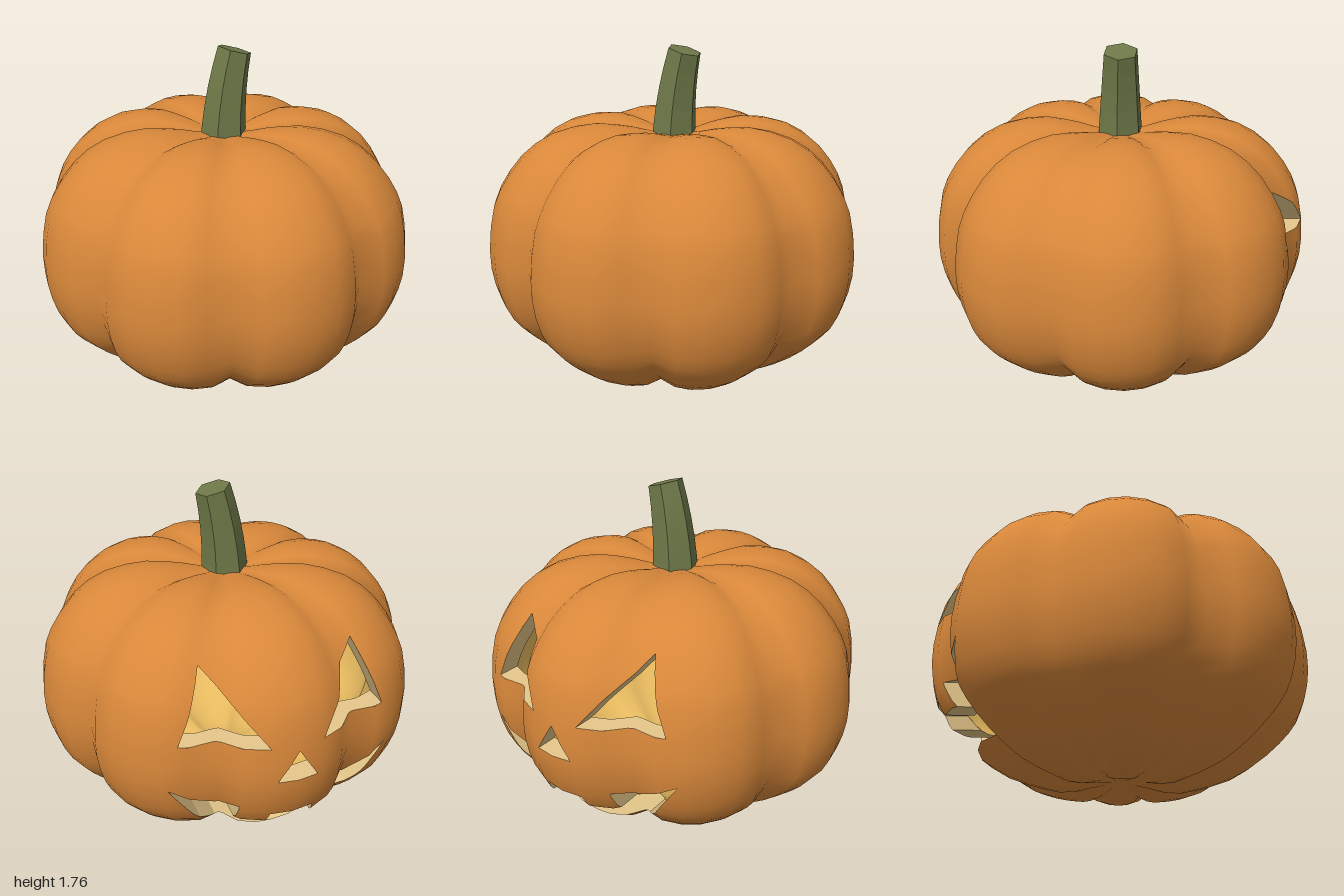
import * as THREE from 'three';

const RIBS = 8, COLS = 48, ROWS = 30, MID = 0.69;

// Half profile as [radius, height], from the underside to the stem hollow
const profile = new THREE.SplineCurve([
  [0, 0.05], [0.14, 0.03], [0.28, 0.003], [0.4, 0.025], [0.58, 0.085], [0.74, 0.19], [0.86, 0.3],
  [0.935, 0.4], [0.985, 0.55], [1, 0.72], [0.97, 0.94], [0.91, 1.08], [0.8, 1.22], [0.65, 1.32],
  [0.45, 1.367], [0.28, 1.355], [0.13, 1.32], [0, 1.3],
].map(([r, y]) => new THREE.Vector2(r, y))).getPoints(ROWS);

// Carved openings on the back, drawn in x and y
const mirror = pts => pts.map(([x, y]) => [-x, y]).reverse();
const eye = [[0.13, 0.845], [0.52, 0.845], [0.38, 1.18]];
const nose = [[-0.1, 0.66], [0.1, 0.66], [0, 0.82]];
const halfMouth = [[0.28, 0.22], [0.4, 0.34], [0.57, 0.59], [0.34, 0.465], [0.25, 0.48],
  [0.25, 0.355], [0.12, 0.355], [0.11, 0.43]];
const mouth = [[0, 0.165], ...halfMouth, ...mirror(halfMouth)];
const holes = [eye, mirror(eye), nose, mouth].map(h => h.map(([x, y]) => new THREE.Vector2(x, y)));

// Ribbed closed skin; the inner skin is shrunk and turned inside out
function skin(inner) {
  const pos = [], idx = [], rs = inner ? 0.89 : 1, ys = inner ? 0.86 : 1;
  for (const p of profile) {
    for (let i = 0; i < COLS; i++) {
      const a = i / COLS * Math.PI * 2;
      const groove = 1 - Math.pow(Math.abs(Math.cos(a * RIBS / 2)), 0.62);
      const r = p.x * (1 - 0.103 * groove) * rs;
      const dip = 1 - 0.06 * groove * THREE.MathUtils.smoothstep(p.x, 0, 0.4);
      pos.push(r * Math.sin(a), MID + (p.y - MID) * dip * ys, r * Math.cos(a));
    }
  }
  for (let j = 0; j < ROWS; j++) {
    for (let i = 0; i < COLS; i++) {
      const k = (i + 1) % COLS, a = j * COLS + i, b = j * COLS + k, c = b + COLS, d = a + COLS;
      idx.push(...(inner ? [a, c, b, a, d, c] : [a, b, c, a, c, d]));
    }
  }
  const g = new THREE.BufferGeometry();
  g.setAttribute('position', new THREE.Float32BufferAttribute(pos, 3));
  g.setIndex(idx);
  g.computeVertexNormals();
  const P = g.attributes.position, N = g.attributes.normal, tris = [];
  for (let t = 0; t < idx.length; t += 3) {
    tris.push([0, 1, 2].map(k => ({
      p: new THREE.Vector3().fromBufferAttribute(P, idx[t + k]),
      n: new THREE.Vector3().fromBufferAttribute(N, idx[t + k]),
    })));
  }
  return tris;
}

// Split a convex polygon by the line a-b into its left and right parts
function split(poly, a, b) {
  const side = v => (b.x - a.x) * (v.p.y - a.y) - (b.y - a.y) * (v.p.x - a.x);
  const left = [], right = [];
  poly.forEach((v, i) => {
    const w = poly[(i + 1) % poly.length], s = side(v), e = side(w);
    (s >= 0 ? left : right).push(v);
    if ((s >= 0) !== (e >= 0)) {
      const t = s / (s - e);
      const m = { p: v.p.clone().lerp(w.p, t), n: v.n.clone().lerp(w.n, t) };
      left.push(m);
      right.push(m);
    }
  });
  return [left, right];
}

// Remove a counter-clockwise triangle from a convex polygon
function subtract(poly, tri) {
  let rest = poly;
  const kept = [];
  for (let k = 0; k < 3; k++) {
    const [left, right] = split(rest, tri[k], tri[(k + 1) % 3]);
    if (left.length < 3) return [poly];
    if (right.length > 2) kept.push(right);
    rest = left;
  }
  return kept;
}

// Cut every opening through the back half of a skin
function carve(tris) {
  const cutters = holes.flatMap(h =>
    THREE.ShapeUtils.triangulateShape(h, []).map(f => {
      const t = f.map(i => h[i]);
      return THREE.ShapeUtils.area(t) < 0 ? t.reverse() : t;
    }));
  const pos = [], nor = [];
  for (const tri of tris) {
    let polys = [tri];
    if (tri.every(v => v.p.z < -0.2)) {
      for (const c of cutters) polys = polys.flatMap(p => subtract(p, c));
    }
    for (const p of polys) {
      for (let k = 1; k < p.length - 1; k++) {
        for (const v of [p[0], p[k], p[k + 1]]) {
          pos.push(...v.p);
          nor.push(...v.n.clone().normalize());
        }
      }
    }
  }
  const g = new THREE.BufferGeometry();
  g.setAttribute('position', new THREE.Float32BufferAttribute(pos, 3));
  g.setAttribute('normal', new THREE.Float32BufferAttribute(nor, 3));
  return g;
}

// Depth of a skin's back at x, y
function depthAt(tris, x, y) {
  const q = new THREE.Vector3(x, y, 0), w = new THREE.Vector3();
  for (const t of tris) {
    if (t.some(v => v.p.z > -0.2)) continue;
    const [a, b, c] = t.map(v => new THREE.Vector3(v.p.x, v.p.y, 0));
    if (!THREE.Triangle.getBarycoord(q, a, b, c, w)) continue;
    if (Math.min(w.x, w.y, w.z) > -1e-4) return w.x * t[0].p.z + w.y * t[1].p.z + w.z * t[2].p.z;
  }
  return -0.5;
}

// Cut faces joining the outer and inner skins around each opening
function cutWalls(outer, inner) {
  const pos = [], STEPS = 14;
  for (const h of holes) {
    h.forEach((a, i) => {
      const b = h[(i + 1) % h.length];
      let last = null;
      for (let s = 0; s <= STEPS; s++) {
        const { x, y } = a.clone().lerp(b, s / STEPS);
        const now = [[x, y, depthAt(outer, x, y)], [x, y, depthAt(inner, x, y)]];
        if (last) {
          pos.push(...last[0], ...last[1], ...now[1], ...last[0], ...now[1], ...now[0]);
        }
        last = now;
      }
    });
  }
  const g = new THREE.BufferGeometry();
  g.setAttribute('position', new THREE.Float32BufferAttribute(pos, 3));
  g.computeVertexNormals();
  return g;
}

// Tapered six-sided stem, bent towards +x
function stemGeometry() {
  const g = new THREE.CylinderGeometry(0.09, 0.126, 1, 6, 5, false, THREE.MathUtils.degToRad(20));
  const p = g.attributes.position;
  for (let i = 0; i < p.count; i++) {
    const t = p.getY(i) + 0.5, x = p.getX(i), tilt = 0.27 * t;
    p.setXY(i, 0.062 * t * t + x * Math.cos(tilt), 1.25 + 0.49 * t - x * Math.sin(tilt));
  }
  g.computeVertexNormals();
  return g;
}

export function createModel() {
  const group = new THREE.Group();
  group.name = 'carvedPumpkin';
  const add = (name, geometry, color, extra = {}) => {
    const mesh = new THREE.Mesh(geometry, new THREE.MeshStandardMaterial({ color, ...extra }));
    mesh.name = name;
    group.add(mesh);
  };
  const outer = skin(false), inner = skin(true);
  add('rind', carve(outer), 0xd9883a);
  add('innerFlesh', carve(inner), 0xe6b95f);
  add('cutEdges', cutWalls(outer, inner), 0xe6c88a, { side: THREE.DoubleSide });
  add('stem', stemGeometry(), 0x6e7848, { flatShading: true });
  return group;
}
